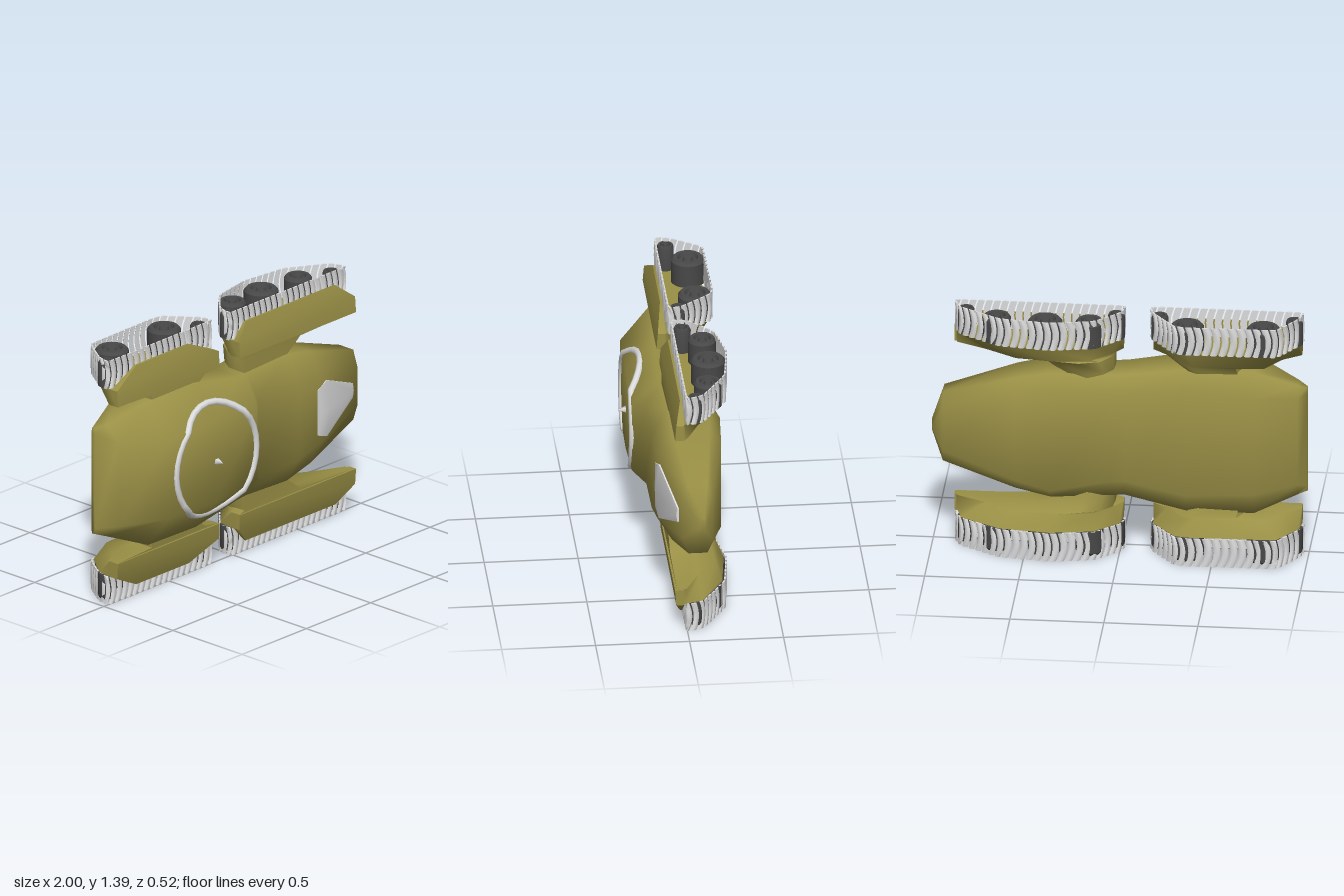
import * as THREE from 'three';
import { mergeGeometries, toCreasedNormals } from 'three/addons/utils/BufferGeometryUtils.js';
import { ConvexGeometry } from 'three/addons/geometries/ConvexGeometry.js';

const CY = 0.695; // centre plane of the vehicle, which lies with its deck towards +z

const mat = (name, color) => Object.assign(new THREE.MeshStandardMaterial({ color }), { name });

// Closed skin over a list of rings, capped at both ends and always facing outwards.
function loft(rings, crease) {
  const n = rings[0].length, pos = rings.flat(2), idx = [];
  for (let i = 0; i < rings.length - 1; i++)
    for (let j = 0; j < n; j++) {
      const a = i * n + j, b = i * n + (j + 1) % n;
      idx.push(a, b, a + n, b, b + n, a + n);
    }
  const last = (rings.length - 1) * n;
  for (let j = 1; j < n - 1; j++) {
    idx.push(0, j + 1, j);
    idx.push(last, last + j, last + j + 1);
  }
  const p = k => new THREE.Vector3().fromArray(pos, k * 3);
  let volume = 0;
  for (let i = 0; i < idx.length; i += 3) {
    const a = p(idx[i]), o = p(0);
    volume += a.sub(o).dot(p(idx[i + 1]).sub(o).cross(p(idx[i + 2]).sub(o)));
  }
  if (volume < 0) idx.reverse();
  const g = new THREE.BufferGeometry();
  g.setAttribute('position', new THREE.Float32BufferAttribute(pos, 3));
  g.setIndex(idx);
  return toCreasedNormals(g, crease);
}

// Hull stations: x, bottom z, bottom half width, side half width, lower z, upper z, deck half width, deck z
const STATIONS = [
  [-1.0, -0.09, 0.27, 0.3, -0.085, -0.07, 0.27, -0.065],
  [-0.95, -0.13, 0.25, 0.317, -0.1, -0.03, 0.24, 0.06],
  [-0.72, -0.22, 0.28, 0.41, -0.16, 0.06, 0.22, 0.21],
  [-0.36, -0.22, 0.3, 0.41, -0.16, 0.07, 0.23, 0.215],
  [-0.03, -0.17, 0.25, 0.35, -0.12, 0.07, 0.2, 0.21],
  [0.04, -0.18, 0.25, 0.35, -0.13, 0.06, 0.22, 0.145],
  [0.36, -0.22, 0.3, 0.36, -0.16, 0.06, 0.22, 0.142],
  [0.55, -0.21, 0.25, 0.32, -0.15, 0.05, 0.18, 0.132],
  [0.94, -0.13, 0.13, 0.2, -0.1, 0.0, 0.11, 0.03],
  [1.0, -0.085, 0.02, 0.03, -0.08, -0.06, 0.02, -0.055],
];

function hullGeometry() {
  return loft(STATIONS.map(([x, zb, wb, w, zl, zu, wt, zt]) => {
    const half = [[wb, zb], [w, zl], [w, zu], [wt, zt]];
    const other = half.map(([v, z]) => [-v, z]).reverse();
    return [...half, ...other].map(([v, z]) => [x, CY + v, z]);
  }), 1.25);
}

// Running gear: outline of the track loop in x and z, neck range, fender, wheels as x, z, radius
const GEAR = [
  {
    name: 'rear', neck: [-0.69, -0.37], fender: [-0.96, -0.17, -0.78, -0.37], treads: 42,
    loop: [[-0.172, 0.003], [-0.175, -0.07], [-0.3, -0.23], [-0.37, -0.245], [-0.84, -0.236], [-0.95, -0.08], [-0.962, 0.003]],
    wheels: [[-0.925, -0.05, 0.045], [-0.77, -0.155, 0.09], [-0.365, -0.155, 0.09], [-0.21, -0.05, 0.045]],
  },
  {
    name: 'front', neck: [0.03, 0.37], fender: [-0.01, 0.89, 0.07, 0.77], treads: 47,
    loop: [[0.872, 0.003], [0.845, -0.09], [0.63, -0.22], [0.36, -0.253], [0.13, -0.21], [0.0, -0.09], [-0.013, 0.003]],
    wheels: [[0.022, -0.05, 0.045], [0.155, -0.145, 0.075], [0.39, -0.155, 0.092], [0.65, -0.13, 0.075], [0.82, -0.05, 0.045]],
  },
];

// Side pod that flares from a narrow neck at the hull to the full track outline
function podGeometry({ loop, neck, fender }, s) {
  const [x0, x1] = fender, mid = (neck[0] + neck[1]) / 2;
  const full = [...loop.map(([x, z]) => [x, z * 0.95]), [x0, 0.06], [x1, 0.055]];
  // The underside (z < -0.02) is drawn in towards the neck by the factor pinch
  const ring = (v, a, b, k, pinch = 1) => full.map(([x, z]) => {
    const px = a + (x - x0) / (x1 - x0) * (b - a);
    return [z < -0.02 ? mid + (px - mid) * pinch : px, CY + s * v, z * (z < 0 ? k : 1)];
  });
  return loft([
    ring(0.28, ...neck, 0.6), ring(0.36, ...neck, 0.68),
    ring(0.435, neck[0], neck[1] + 0.1, 0.8), ring(0.447, x0, x1, 0.84, 0.8), ring(0.535, x0, x1, 1),
  ], 1.2);
}

// Tapered ledge over the top run of the track
function fenderGeometry([x0, x1, x2, x3], s) {
  const ring = (v, a, b, zt) => [[a, 0.018], [b, 0.018], [b, zt], [a, zt]].map(([x, z]) => [x, CY + s * v, z]);
  return loft([ring(0.447, x0, x1, 0.067), ring(0.535, x0, x1, 0.06), ring(0.625, x2, x3, 0.03)], 0.8);
}

// Curved treads with rounded cross-sections, spaced along the loop
function trackGeometry({ loop, treads }, s) {
  const curve = new THREE.CatmullRomCurve3(loop.map(([x, z]) => new THREE.Vector3(x, 0, z)), true, 'catmullrom', 0.08);
  curve.arcLengthDivisions = 600;
  const section = [[-0.41, -0.004], [-0.2, 0.005], [0.2, 0.005], [0.41, -0.004]];
  const strips = Array.from({ length: treads }, (_, i) =>
    loft(Array.from({ length: 7 }, (_, j) => {
      const t = j / 6;
      return section.map(([along, lift]) => {
        const u = ((i + along + 0.4 * Math.sin(Math.PI * t)) / treads + 1) % 1;
        const p = curve.getPointAt(u), d = curve.getTangentAt(u);
        return [p.x - d.z * lift, CY + s * (0.535 + 0.16 * t), p.z + d.x * lift];
      });
    }), 1.3));
  return mergeGeometries(strips);
}

// Wheel with rim, recess and hub
function wheelGeometry(r) {
  const h = 0.14;
  const profile = [[0, 0], [r, 0], [r, h - 0.015], [r * 0.86, h], [r * 0.62, h], [r * 0.54, h - 0.02],
    [r * 0.32, h - 0.02], [r * 0.24, h], [0, h]];
  return toCreasedNormals(new THREE.LatheGeometry(profile.map(q => new THREE.Vector2(...q)), 24), 0.6);
}

export function createModel() {
  const olive = mat('olive armour', 0x9a9046);
  const steel = mat('light steel', 0xdcdcdc);
  const rubber = mat('dark rubber', 0x484848);
  const model = new THREE.Group();
  model.name = 'trackedVehicle';
  const add = (parent, name, geometry, material) => {
    const m = new THREE.Mesh(geometry, material);
    m.name = name;
    parent.add(m);
    return m;
  };

  add(model, 'hull', hullGeometry(), olive);

  // Deck ring that drapes over the shoulders of the hull
  const ringPoints = Array.from({ length: 32 }, (_, i) => {
    const a = i / 32 * Math.PI * 2, v = 0.311 * Math.sin(a);
    const drop = Math.max(0, Math.abs(v) - 0.22) * 0.75;
    return new THREE.Vector3(-0.35 + 0.311 * Math.cos(a), CY + v, 0.206 - drop);
  });
  add(model, 'deckRing', new THREE.TubeGeometry(new THREE.CatmullRomCurve3(ringPoints, true), 32, 0.02, 8, true), steel);

  // Small spike in the middle of the deck
  const spike = add(model, 'deckSpike', new THREE.ConeGeometry(0.022, 0.05, 5), steel);
  spike.rotation.x = Math.PI / 2;
  spike.position.set(-0.35, CY, 0.235);

  // Softly faceted canopy on the nose
  const canopy = [[0.6, 0, 0.146], [0.54, 0, 0.143], [0.88, 0, 0.06]];
  for (const s of [-1, 1])
    for (const [x, v, z] of [[0.52, 0.13, 0.139], [0.6, 0.16, 0.127], [0.88, 0.04, 0.054]])
      canopy.push([x, s * v, z], [x, s * v, z - 0.06]);
  const canopyGeometry = new ConvexGeometry(canopy.map(([x, v, z]) => new THREE.Vector3(x, CY + v, z)));
  add(model, 'canopy', toCreasedNormals(canopyGeometry, 1.1), steel);

  // Four sets of running gear
  for (const s of [-1, 1])
    for (const gear of GEAR) {
      const unit = new THREE.Group();
      unit.name = `${gear.name}${s > 0 ? 'Upper' : 'Lower'}RunningGear`;
      add(unit, 'pod', podGeometry(gear, s), olive);
      add(unit, 'fender', fenderGeometry(gear.fender, s), olive);
      add(unit, 'track', trackGeometry(gear, s), steel);
      for (const [x, z, r] of gear.wheels) {
        const wheel = add(unit, 'wheel', wheelGeometry(r), rubber);
        wheel.position.set(x, CY + s * 0.535, z);
        if (s < 0) wheel.rotation.x = Math.PI;
      }
      model.add(unit);
    }
  return model;
}
